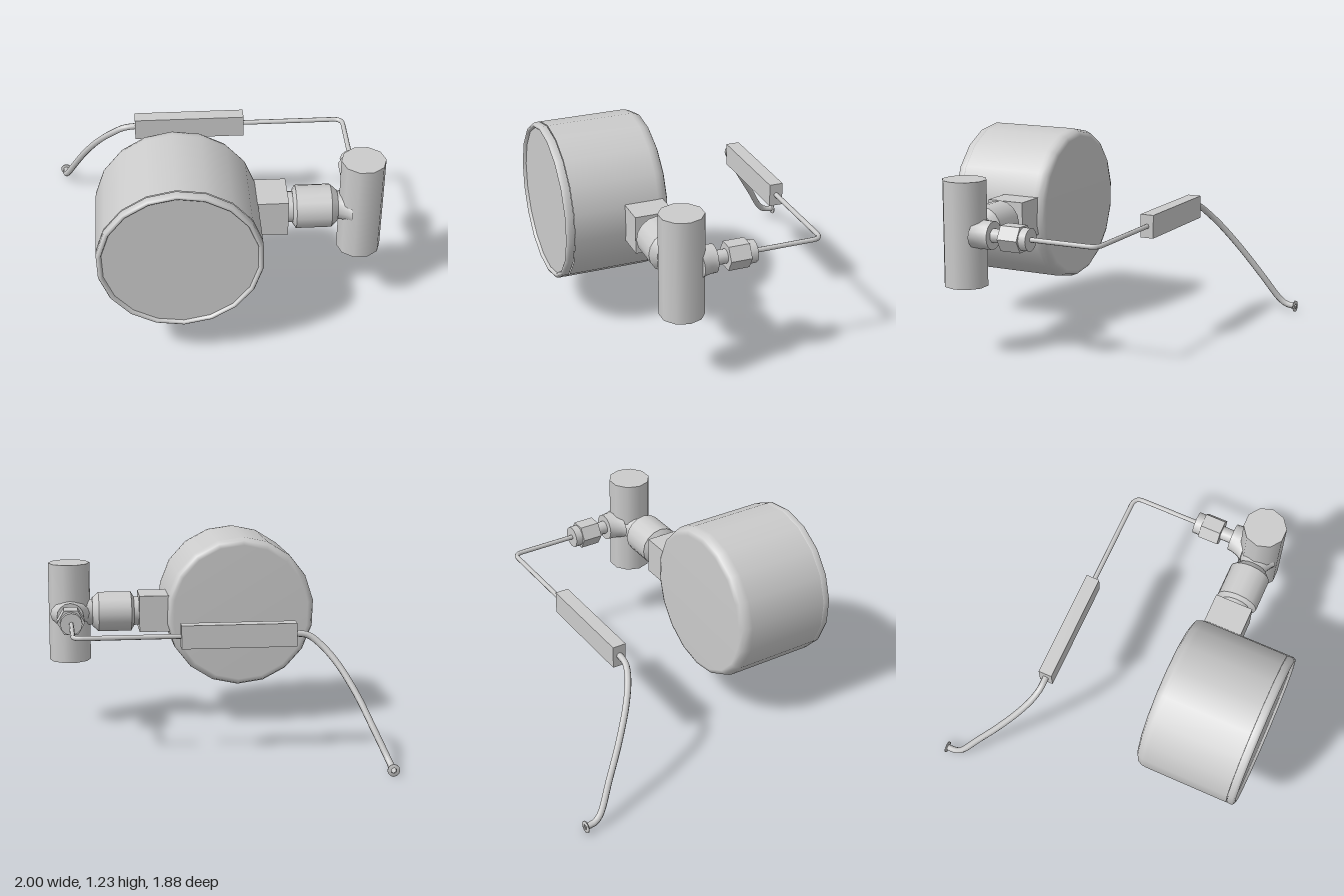
import * as THREE from 'three';

const smooth = new THREE.MeshStandardMaterial({ color: 0xcccccc, side: THREE.DoubleSide });
const flat = new THREE.MeshStandardMaterial({ color: 0xcccccc, flatShading: true });
const v = (x, y, z) => new THREE.Vector3(x, y, z);

export function createModel() {
  const model = new THREE.Group();
  const add = (name, geometry, x = 0, y = 0, z = 0, material = smooth) => {
    const mesh = new THREE.Mesh(geometry, material);
    mesh.name = name;
    mesh.position.set(x, y, z);
    model.add(mesh);
    return mesh;
  };
  // Profiles are [radius, distance along the axis]
  const lathe = (profile, sides) =>
    new THREE.LatheGeometry(profile.map(([r, h]) => new THREE.Vector2(r, h)), sides);
  const alongX = (g) => g.rotateZ(-Math.PI / 2);
  const alongZ = (g) => g.rotateX(Math.PI / 2);

  // Gauge housing: rounded back, rim and recessed front face
  const gx = -0.235, gy = 0.746, turn = 0.035;
  const gauge = (g) => alongZ(g).rotateZ(turn);
  add('gaugeCase', gauge(lathe(
    [[0, 0.29], [0.44, 0.29], [0.468, 0.302], [0.482, 0.335], [0.485, 0.36], [0.485, 0.888]], 18)), gx, gy);
  add('gaugeRim', gauge(lathe(
    [[0.478, 0.888], [0.485, 0.894], [0.485, 0.922], [0.478, 0.935], [0.468, 0.94], [0.459, 0.935], [0.452, 0.918]], 18)), gx, gy);
  add('gaugeFace', gauge(new THREE.CylinderGeometry(0.456, 0.456, 0.02, 18)), gx, gy, 0.912);

  // Connection block and round coupling
  const cy = 0.743, cz = 0.455;
  add('connectionBlock', new THREE.BoxGeometry(0.22, 0.235, 0.24), 0.31, cy, 0.452, flat);
  add('couplingNeck', alongX(new THREE.CylinderGeometry(0.093, 0.093, 0.1, 16)), 0.45, cy, cz);
  add('coupling', alongX(new THREE.CylinderGeometry(0.13, 0.13, 0.21, 16)), 0.575, cy, cz);
  add('couplingBackChamfer', alongX(new THREE.CylinderGeometry(0.13, 0.1, 0.02, 16)), 0.462, cy, cz);
  add('couplingFrontChamfer', alongX(new THREE.CylinderGeometry(0.093, 0.13, 0.04, 16)), 0.7, cy, cz);

  // Upright tee cylinder
  const tx = 0.866, ty = 0.752;
  add('teeBody', new THREE.CylinderGeometry(0.133, 0.133, 0.635, 10).rotateY(Math.PI / 2), tx, ty, cz);

  // Saddle fillets widen sideways only, towards the tee
  const saddle = (length) => {
    const g = new THREE.CylinderGeometry(0.085, 0.085, length, 16, 4);
    const p = g.attributes.position;
    for (let i = 0; i < p.count; i++) {
      const t = p.getY(i) / length + 0.5;
      p.setX(i, p.getX(i) * (1 + 0.47 * t * t));
    }
    g.computeVertexNormals();
    return g;
  };
  add('couplingSaddle', alongX(saddle(0.09).rotateY(Math.PI / 2)), 0.755, cy, cz);
  add('fittingSaddle', alongZ(saddle(0.1)), tx, ty, 0.31);

  // Compression fitting at the back of the tee
  add('fittingStem', alongZ(new THREE.CylinderGeometry(0.043, 0.043, 0.1, 12)), tx, ty, 0.22);
  add('fittingNut', alongZ(new THREE.CylinderGeometry(0.087, 0.087, 0.13, 6).rotateY(Math.PI / 2)), tx, ty, 0.122, flat);
  add('fittingCollar', alongZ(new THREE.CylinderGeometry(0.069, 0.069, 0.05, 12)), tx, ty, 0.035);

  // Thin tube with one tight bend, running to the sleeve
  const path = new THREE.CurvePath();
  path.add(new THREE.LineCurve3(v(tx, ty, 0.03), v(tx, ty, -0.36)));
  path.add(new THREE.QuadraticBezierCurve3(v(tx, ty, -0.36), v(tx, ty, -0.418), v(0.808, ty, -0.418)));
  path.add(new THREE.LineCurve3(v(0.808, ty, -0.418), v(0.2, ty, -0.418)));
  add('capillaryTube', new THREE.TubeGeometry(path, 90, 0.015, 8));

  // Square sleeve on the tube
  add('tubeSleeve', new THREE.BoxGeometry(0.695, 0.142, 0.085), -0.122, ty, -0.418, flat);

  // Drooping tail tube
  const tail = new THREE.CatmullRomCurve3([
    v(-0.45, 0.755, -0.418), v(-0.54, 0.742, -0.42), v(-0.61, 0.692, -0.445),
    v(-0.7, 0.59, -0.51), v(-0.8, 0.42, -0.62), v(-0.88, 0.24, -0.735), v(-0.95, 0.075, -0.84),
    v(-0.96, 0.044, -0.885), v(-0.96, 0.038, -0.942),
  ], false, 'centripetal');
  add('tailTube', new THREE.TubeGeometry(tail, 40, 0.02, 8));

  // End flange with an open bore
  add('tailFlange', alongZ(lathe(
    [[0.016, -0.945], [0.037, -0.945], [0.037, -0.936], [0.016, -0.936]], 12)), -0.96, 0.037);

  return model;
}
